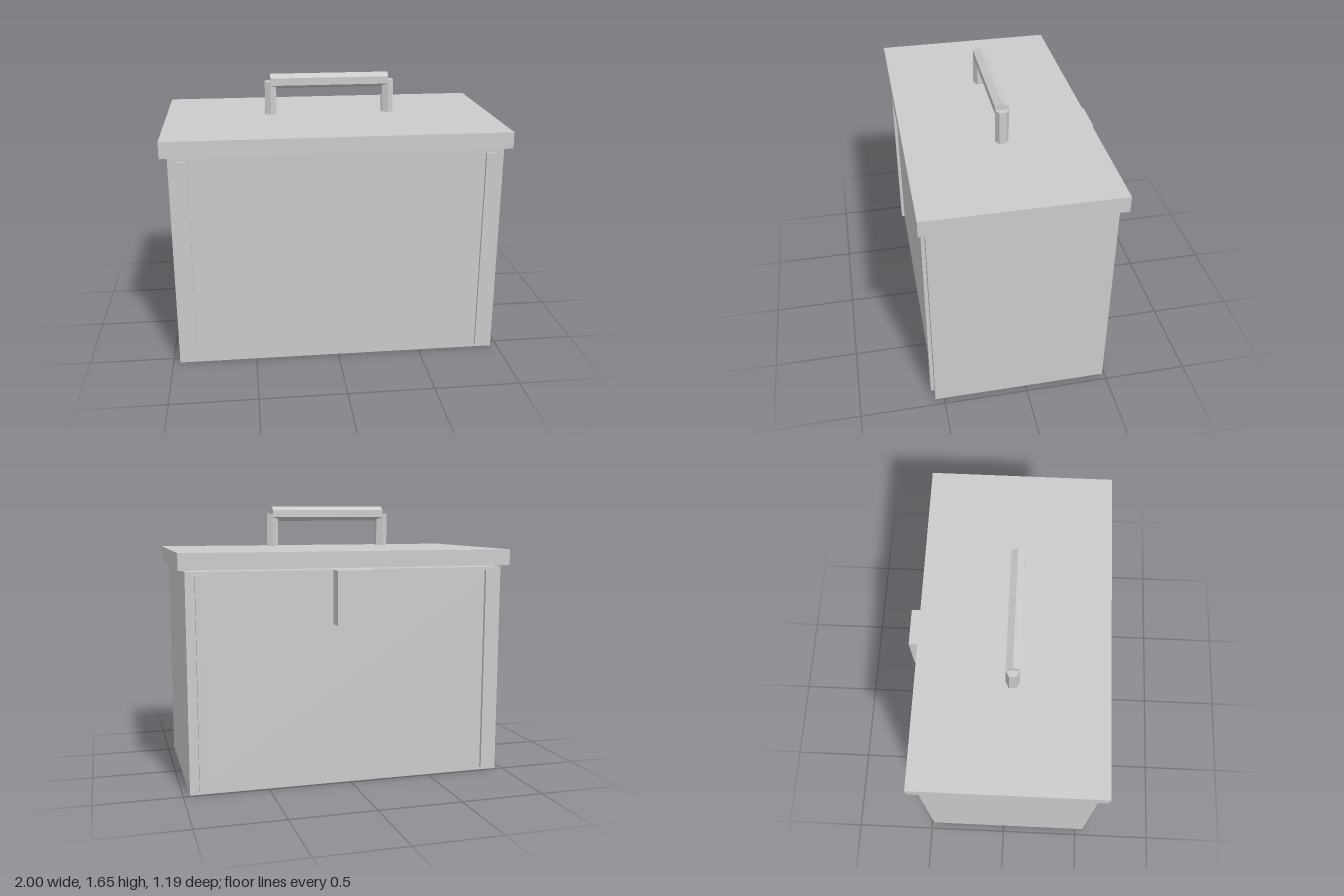
import * as THREE from 'three';

export function createModel() {
  const model = new THREE.Group();
  const material = new THREE.MeshStandardMaterial({ color: 0xcccccc, flatShading: true });

  function add(name, geometry, x, y, z) {
    const mesh = new THREE.Mesh(geometry, material);
    mesh.name = name;
    mesh.position.set(x, y, z);
    model.add(mesh);
    return mesh;
  }
  const box = (w, h, d) => new THREE.BoxGeometry(w, h, d);

  // The box is centred slightly forward because the latch sticks out at the back
  const zc = 0.033;

  // Body and overhanging lid, with a hairline gap between them
  add('body', box(1.92, 1.28, 1.04), 0, 0.64, zc);
  add('lid', box(2, 0.096, 1.12), 0, 1.338, zc);

  // Raised vertical strips near the four corners
  for (const sx of [-1, 1]) {
    for (const sz of [-1, 1]) {
      const name = (sz > 0 ? 'front' : 'back') + (sx > 0 ? 'Left' : 'Right') + 'Strip';
      add(name, box(0.052, 1.24, 0.02), sx * 0.88, 0.64, zc + sz * 0.53);
    }
  }

  // Latch plate at the back
  add('latch', box(0.22, 0.316, 0.092), 0, 1.122, -0.547);

  // Carrying handle: two hexagonal posts with a hexagonal bar, ridge upwards
  for (const sx of [-1, 1]) {
    add(sx > 0 ? 'leftHandlePost' : 'rightHandlePost',
      new THREE.CylinderGeometry(0.04, 0.04, 0.2, 6), sx * 0.36, 1.502, zc);
  }
  const bar = new THREE.CylinderGeometry(0.045, 0.045, 0.72, 6);
  bar.rotateY(Math.PI / 6).rotateZ(Math.PI / 2);
  add('handleBar', bar, 0, 1.602, zc);

  return model;
}
